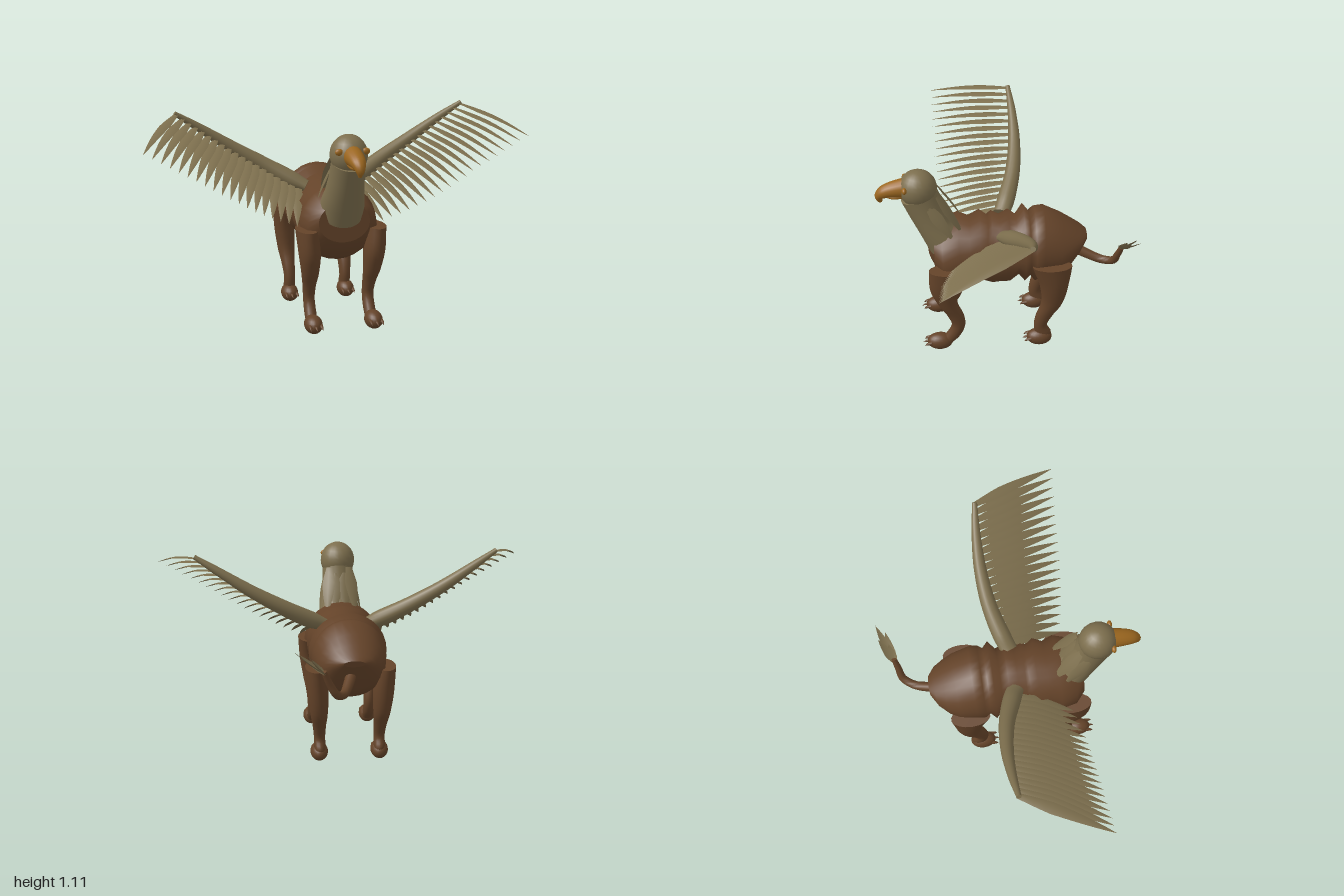
import * as THREE from 'three';
import { mergeGeometries } from 'three/addons/utils/BufferGeometryUtils.js';

const V = (x, y, z) => new THREE.Vector3(x, y, z);
const mat = (name, color, side = THREE.FrontSide) => {
  const m = new THREE.MeshStandardMaterial({ color, side });
  m.name = name;
  return m;
};

// Closed skin over rings given as { c, u, v }; u x v points along the path
function loft(rings, sides = 20) {
  const pos = [], idx = [], n = sides;
  for (const { c, u, v } of rings)
    for (let j = 0; j < n; j++) {
      const a = (j / n) * Math.PI * 2;
      pos.push(...c.clone().addScaledVector(u, Math.cos(a)).addScaledVector(v, Math.sin(a)).toArray());
    }
  for (let i = 0; i < rings.length - 1; i++)
    for (let j = 0; j < n; j++) {
      const a = i * n + j, b = i * n + (j + 1) % n;
      idx.push(a, b, a + n, b, b + n, a + n);
    }
  // End caps have their own vertices so the rims stay sharp
  for (const end of [0, rings.length - 1]) {
    const start = pos.length / 3;
    pos.push(...rings[end].c.toArray());
    pos.push(...pos.slice(end * n * 3, (end + 1) * n * 3));
    for (let j = 0; j < n; j++) {
      const a = start + 1 + j, b = start + 1 + (j + 1) % n;
      idx.push(start, ...(end ? [a, b] : [b, a]));
    }
  }
  const g = new THREE.BufferGeometry();
  g.setAttribute('position', new THREE.Float32BufferAttribute(pos, 3));
  g.setIndex(idx);
  g.computeVertexNormals();
  return g;
}

// Tapered limb along rows of [x, y, z, radiusA, radiusB]; a fixed axis keeps all rings parallel
function limb(rows, ref, steps = 18, sides = 16, axis = null) {
  const path = new THREE.CatmullRomCurve3(rows.map(r => V(r[0], r[1], r[2])));
  const size = new THREE.CatmullRomCurve3(rows.map(r => V(r[3], r[4], 0)), false, 'catmullrom', 0.4);
  const rings = [];
  for (let i = 0; i <= steps; i++) {
    const t = i / steps, c = path.getPoint(t), s = size.getPoint(t);
    const d = axis || path.getTangent(t);
    const u = ref.clone().addScaledVector(d, -ref.dot(d)).normalize();
    const v = d.clone().cross(u);
    rings.push({ c, u: u.multiplyScalar(s.x), v: v.multiplyScalar(s.y) });
  }
  return loft(rings, sides);
}

// Thin leaf-shaped blade with a slight ridge and an upward bow
function feather(base, tip, width, bow = 0.02, up = V(0, 1, 0)) {
  const pos = [], idx = [], n = 9;
  const dir = tip.clone().sub(base);
  const side = dir.clone().cross(up).normalize();
  for (let i = 0; i <= n; i++) {
    const t = i / n;
    const w = (width / 2) * Math.min(1, 0.45 + 1.7 * t) * (1 - t ** 2.4);
    const c = base.clone().addScaledVector(dir, t).addScaledVector(up, bow * Math.sin(Math.PI * t));
    for (const k of [-1, 0, 1])
      pos.push(...c.clone().addScaledVector(side, k * w).addScaledVector(up, k ? -w * 0.3 : 0).toArray());
    if (i < n)
      for (const k of [0, 1]) {
        const a = i * 3 + k;
        idx.push(a, a + 1, a + 3, a + 1, a + 4, a + 3);
      }
  }
  const g = new THREE.BufferGeometry();
  g.setAttribute('position', new THREE.Float32BufferAttribute(pos, 3));
  g.setIndex(idx);
  g.computeVertexNormals();
  return g;
}

export function createModel() {
  const model = new THREE.Group();
  const fur = mat('brown fur', 0x644329);
  const plume = mat('olive plumage', 0x7c6e4d);
  const blade = mat('olive feathers', 0x7c6e4d, THREE.DoubleSide);
  const horn = mat('golden horn', 0x9c671f);
  const add = (parent, name, geo, m) => {
    const mesh = new THREE.Mesh(geo, m);
    mesh.name = name;
    parent.add(mesh);
    return mesh;
  };
  const ball = (parent, name, m, p, s) => {
    const b = add(parent, name, new THREE.SphereGeometry(1, 20, 14), m);
    b.position.set(...p);
    b.scale.set(...s);
  };
  const X = V(1, 0, 0);

  // Folded body: topZ, topY, bottomZ, bottomY, half width
  const bodyRows = [
    [0.38, 0.69, 0.38, 0.48, 0.135], [0.34, 0.71, 0.33, 0.395, 0.185], [0.25, 0.755, 0.25, 0.355, 0.205],
    [0.19, 0.73, 0.20, 0.39, 0.18], [0.13, 0.765, 0.17, 0.36, 0.2], [0.09, 0.735, 0.13, 0.38, 0.175],
    [0.07, 0.76, 0.07, 0.36, 0.185], [0.03, 0.74, 0.03, 0.36, 0.17], [-0.02, 0.765, -0.02, 0.365, 0.185],
    [-0.06, 0.73, -0.07, 0.41, 0.17], [-0.10, 0.79, -0.10, 0.37, 0.208], [-0.13, 0.75, -0.13, 0.40, 0.178],
    [-0.16, 0.775, -0.155, 0.365, 0.197], [-0.21, 0.782, -0.19, 0.385, 0.193], [-0.30, 0.735, -0.285, 0.392, 0.177],
    [-0.36, 0.695, -0.335, 0.445, 0.15], [-0.41, 0.66, -0.385, 0.525, 0.112], [-0.44, 0.635, -0.43, 0.60, 0.055],
  ];
  add(model, 'body', loft(bodyRows.map(([tz, ty, bz, by, w]) => ({
    c: V(0, (ty + by) / 2, (tz + bz) / 2), u: V(w, 0, 0), v: V(0, (by - ty) / 2, (bz - tz) / 2),
  })), 28), fur);

  // Neck, head, beak
  add(model, 'neck', loft([
    [0.64, 0.32, 0.12, 0.08, -0.08], [0.69, 0.35, 0.112, 0.055, -0.083],
    [0.74, 0.377, 0.102, 0.037, -0.086], [0.82, 0.412, 0.09, 0.032, -0.09], [0.91, 0.446, 0.085, 0.03, -0.095],
  ].map(([y, z, w, vy, vz]) => ({ c: V(0, y, z), u: V(w, 0, 0), v: V(0, vy, vz) })), 24), plume);
  ball(model, 'head', plume, [0, 0.95, 0.45], [0.095, 0.102, 0.1]);
  add(model, 'beak', limb([
    [0, 0.955, 0.52, 0.05, 0.054], [0, 0.95, 0.57, 0.046, 0.045], [0, 0.937, 0.622, 0.038, 0.035],
    [0, 0.912, 0.65, 0.025, 0.026], [0, 0.875, 0.648, 0.007, 0.01],
  ], X), horn);
  add(model, 'lowerBeak', limb([
    [0, 0.92, 0.52, 0.036, 0.022], [0, 0.91, 0.58, 0.03, 0.016], [0, 0.91, 0.62, 0.012, 0.008],
  ], X, 8, 12), horn);

  // Tail and tuft
  add(model, 'tail', limb([
    [0, 0.56, -0.33, 0.03, 0.03], [0.03, 0.515, -0.43, 0.027, 0.027], [0.065, 0.49, -0.52, 0.023, 0.023],
    [0.105, 0.51, -0.575, 0.021, 0.021], [0.14, 0.57, -0.59, 0.018, 0.018], [0.17, 0.64, -0.605, 0.014, 0.014],
  ], V(0, 0.5, -1).normalize(), 26, 12), fur);
  const tuft = [[0.32, 0.77, -0.675], [0.29, 0.74, -0.63], [0.25, 0.74, -0.67], [0.23, 0.71, -0.62]];
  add(model, 'tailTuft', mergeGeometries(tuft.map((t, i) =>
    feather(V(0.16, 0.62, -0.602), V(...t), 0.05, 0.006, V(0.7, -0.7, i % 2 ? 0.3 : -0.2).normalize()))), blade);

  // Paired parts, built on the left and mirrored
  for (const s of [1, -1]) {
    const half = new THREE.Group();
    half.name = s > 0 ? 'leftSide' : 'rightSide';
    half.scale.x = s;
    model.add(half);

    ball(half, 'eye', horn, [0.068, 0.977, 0.519], [0.021, 0.017, 0.013]);
    add(half, 'neckFeathers', mergeGeometries([
      feather(V(0.055, 0.93, 0.35), V(0.08, 0.69, 0.215), 0.08, 0.008, V(0.4, 0.3, -1).normalize()),
      feather(V(0.02, 0.9, 0.34), V(0.03, 0.71, 0.25), 0.08, 0.006, V(0.1, 0.3, -1).normalize()),
      feather(V(0.08, 0.88, 0.4), V(0.115, 0.68, 0.27), 0.07, 0.008, V(1, 0.2, -0.4).normalize()),
    ]), blade);

    // Legs
    const down = V(0, -1, 0);
    add(half, 'frontLeg', limb([
      [0.182, 0.545, 0.308, 0.055, 0.105], [0.172, 0.42, 0.335, 0.056, 0.077], [0.166, 0.31, 0.318, 0.045, 0.053],
      [0.162, 0.23, 0.28, 0.034, 0.045], [0.16, 0.16, 0.264, 0.03, 0.037], [0.16, 0.09, 0.295, 0.031, 0.042],
      [0.16, 0.04, 0.335, 0.03, 0.035],
    ], X, 22, 18, down), fur);
    add(half, 'hindLeg', limb([
      [0.182, 0.545, -0.24, 0.055, 0.106], [0.172, 0.41, -0.253, 0.056, 0.077], [0.166, 0.29, -0.245, 0.046, 0.059],
      [0.162, 0.20, -0.205, 0.035, 0.046], [0.16, 0.13, -0.185, 0.03, 0.036], [0.16, 0.08, -0.2, 0.031, 0.045],
      [0.16, 0.04, -0.2, 0.03, 0.035],
    ], X, 22, 18, down), fur);
    for (const [label, z] of [['front', 0.368], ['hind', -0.18]]) {
      ball(half, label + 'Paw', fur, [0.162, 0.05, z], [0.047, 0.048, 0.07]);
      for (const k of [-1, 0, 1])
        add(half, label + 'Claw', limb([
          [0.162 + k * 0.028, 0.055, z + 0.045, 0.011, 0.011], [0.162 + k * 0.03, 0.052, z + 0.07, 0.007, 0.007],
          [0.162 + k * 0.031, 0.043, z + 0.093 - Math.abs(k) * 0.01, 0.001, 0.001],
        ], X, 5, 8), fur);
    }

    // Wing arm with a fan of overlapping flight feathers
    const armRows = [
      [0.11, 0.70, 0.01, 0.03, 0.045], [0.19, 0.738, -0.022, 0.045, 0.048], [0.33, 0.817, -0.066, 0.041, 0.041],
      [0.5, 0.918, -0.088, 0.033, 0.033], [0.66, 1.022, -0.086, 0.023, 0.023], [0.788, 1.104, -0.073, 0.012, 0.013],
    ];
    add(half, 'wingArm', limb(armRows, V(0, 1, 0), 24, 16), plume);
    const arm = new THREE.CatmullRomCurve3(armRows.map(r => V(r[0], r[1], r[2])));
    const tipLine = new THREE.CatmullRomCurve3([
      V(0.23, 0.56, 0.31), V(0.42, 0.64, 0.345), V(0.7, 0.805, 0.36), V(1.0, 0.98, 0.37),
    ]);
    const count = 19;
    add(half, 'flightFeathers', mergeGeometries(Array.from({ length: count }, (_, i) => {
      const t = i / (count - 1), base = arm.getPointAt(0.06 + 0.93 * t);
      base.y -= 0.012 * (1 - t);
      return feather(base, tipLine.getPointAt(t), 0.064, 0.018);
    })), blade);
  }
  return model;
}
